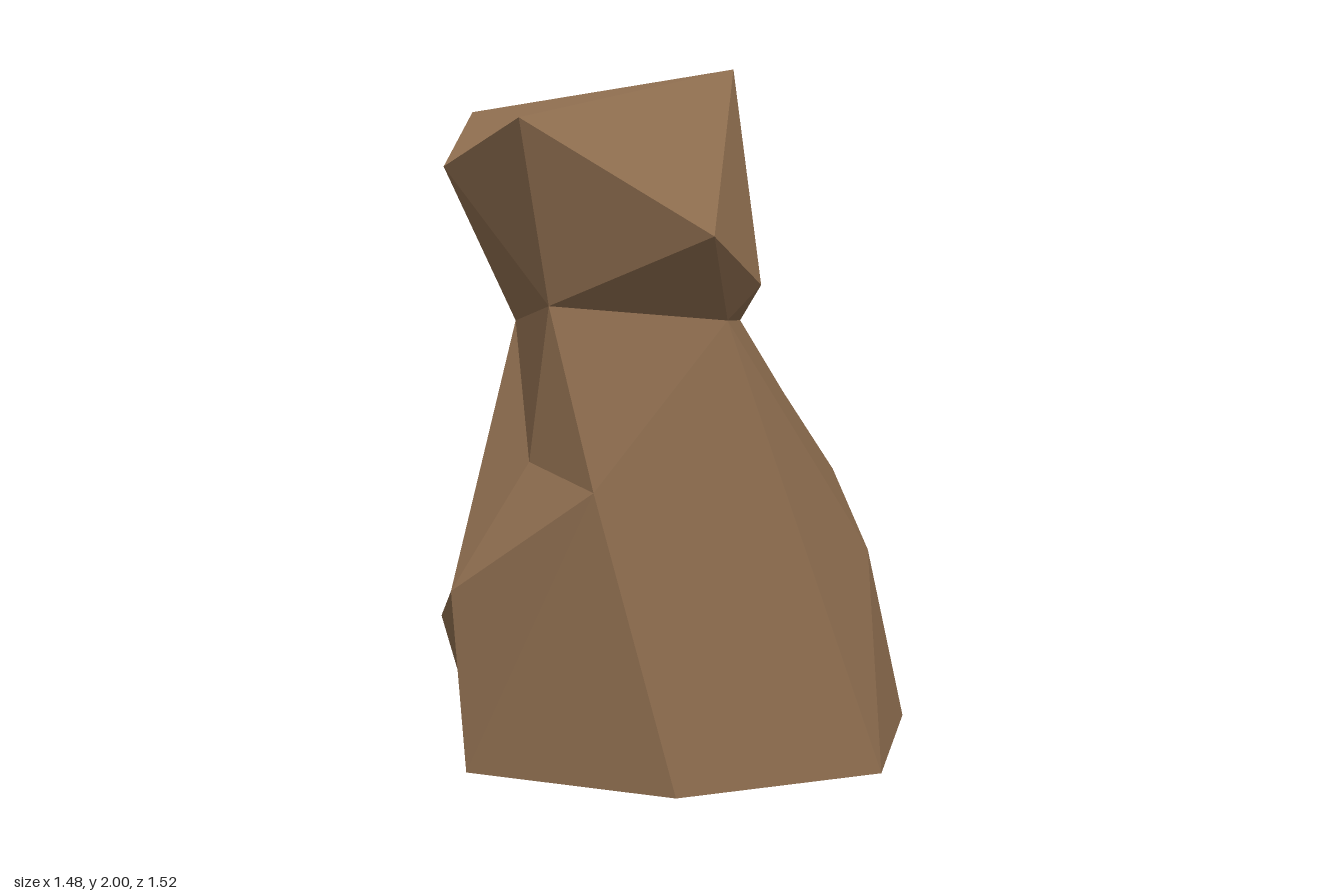
import * as THREE from 'three';

// Corner points, shared by the two parts
const points = {
  // ground ring, starting at the front
  b0: [-0.01, 0, 0.72], b1: [0.5, 0, 0.35], b2: [0.74, 0, -0.22], b3: [0.48, 0, -0.585], b4: [-0.02, 0, -0.76],
  b5: [-0.205, 0, -0.755], b6: [-0.655, 0, -0.36], b7: [-0.74, 0, -0.13], b8: [-0.742, 0, 0.12], b9: [-0.25, 0, 0.54],
  // belly and flanks
  belly: [0, 0.56, 0.76], sideLow: [-0.585, 0.265, 0.455], sideHigh: [-0.735, 0.355, 0.225],
  chest: [0.3, 0.86, 0.48], dent: [0.06, 0.91, 0.53],
  hip: [0.44, 0.56, -0.45], back: [0.24, 0.77, -0.49], shoulder: [0.25, 1.05, -0.26],
  // neck ring
  n0: [0.14, 1.36, 0.51], n1: [0.39, 1.31, 0.08], n2: [0.1, 1.25, -0.22], n3: [-0.31, 1.27, -0.13], n4: [-0.32, 1.25, 0.32],
  // overhanging top
  peak: [-0.08, 2, -0.34], rim0: [-0.34, 1.95, -0.28], tip: [-0.59, 1.87, 0.29], rim1: [-0.35, 1.72, 0.54],
  rim2: [0.16, 1.87, 0.61], rim3: [0.58, 1.57, 0.29], rim4: [0.45, 1.41, 0.01],
  under0: [-0.09, 1.74, -0.33], under1: [-0.355, 1.7, -0.08], under2: [-0.39, 1.74, 0.15],
};

// Each fan is a centre point followed by its neighbours, counter-clockwise
const bodyFans = [
  'n4 sideHigh belly dent n0',
  'belly sideHigh sideLow b9 b0 chest dent',
  'b8 b9 sideLow sideHigh b7',
  'chest b0 b1 b2 n1 n0 dent',
  'hip b2 b3 b4 b5 back shoulder n1 b2',
  'shoulder back n3 n2 n1',
  'n3 back b5 b6 b7 sideHigh n4',
];
const topFans = [
  'peak rim0 tip rim1 rim2 rim3 rim4 under0 rim0',
  'n0 n1 rim3 rim2 rim1 n4',
  'n1 n2 rim4 rim3',
  'under0 rim4 n2 n3 under1 rim0',
  'under1 n3 n4 under2 rim0',
  'under2 n4 rim1 tip rim0',
];

function facetedMesh(name, fans, material) {
  const positions = [];
  for (const fan of fans) {
    const [centre, ...ring] = fan.split(' ').map((key) => points[key]);
    for (let i = 0; i + 1 < ring.length; i++) positions.push(...centre, ...ring[i], ...ring[i + 1]);
  }
  const geometry = new THREE.BufferGeometry();
  geometry.setAttribute('position', new THREE.Float32BufferAttribute(positions, 3));
  geometry.computeVertexNormals();
  const mesh = new THREE.Mesh(geometry, material);
  mesh.name = name;
  return mesh;
}

export function createModel() {
  // Open underneath, so both sides show
  const stone = new THREE.MeshStandardMaterial({ color: 0x8b6b4d, flatShading: true, side: THREE.DoubleSide });
  stone.name = 'brown stone';

  const model = new THREE.Group();
  model.name = 'rock';
  model.add(facetedMesh('rockBody', bodyFans, stone));
  model.add(facetedMesh('rockTop', topFans, stone));
  return model;
}
